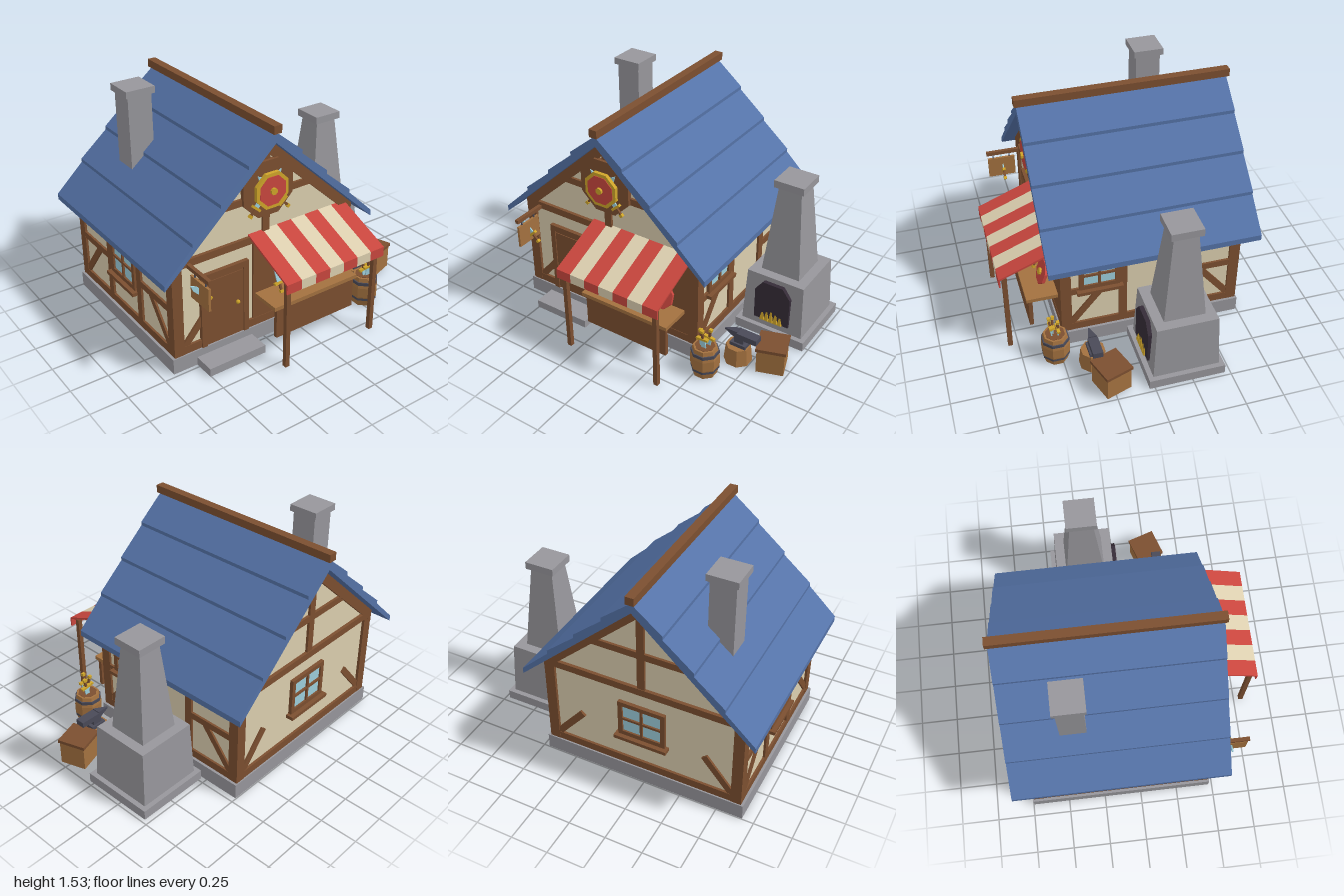
import * as THREE from 'three';

const colours = {
  stone: 0x97969b, roofBlue: 0x5573a8, timber: 0x7c4f30, plaster: 0xdccfaf, wood: 0xa3713f,
  red: 0xc9463e, gold: 0xcfa52a, steelBlue: 0x9dcfdc, iron: 0x4a4a58, soot: 0x362c38,
};
const M = {};

function add(parent, name, geo, mat, x = 0, y = 0, z = 0) {
  const mesh = new THREE.Mesh(geo, M[mat]);
  mesh.name = name;
  mesh.position.set(x, y, z);
  parent.add(mesh);
  return mesh;
}
function group(parent, name, x = 0, y = 0, z = 0) {
  const g = new THREE.Group();
  g.name = name;
  g.position.set(x, y, z);
  parent.add(g);
  return g;
}
const box = (p, name, mat, w, h, d, x, y, z) => add(p, name, new THREE.BoxGeometry(w, h, d), mat, x, y, z);

// faceted cylinder with flat sides facing the axes
function prism(rTop, rBottom, h, sides) {
  const g = new THREE.CylinderGeometry(rTop, rBottom, h, sides).rotateY(Math.PI / sides).toNonIndexed();
  g.computeVertexNormals();
  return g;
}
// square frustum given by full widths
const frustum = (top, bottom, h) => prism(top / Math.SQRT2, bottom / Math.SQRT2, h, 4);

function extrude(points, depth) {
  const shape = new THREE.Shape(points.map(([x, y]) => new THREE.Vector2(x, y)));
  return new THREE.ExtrudeGeometry(shape, { depth, bevelEnabled: false });
}
// beam between two points on a wall face
function strut(p, name, x1, y1, x2, y2, width, depth) {
  const b = box(p, name, 'timber', Math.hypot(x2 - x1, y2 - y1), width, depth, (x1 + x2) / 2, (y1 + y2) / 2, 0);
  b.rotation.z = Math.atan2(y2 - y1, x2 - x1);
}

// sword: origin at the guard, blade pointing up
function sword(p, name, length, x, y, z, rx = 0, rz = 0) {
  const g = group(p, name, x, y, z);
  const w = 0.017;
  add(g, 'blade', extrude([[-w, 0], [w, 0], [w, length - 0.04], [0, length], [-w, length - 0.04]], 0.008), 'steelBlue', 0, 0, -0.004);
  box(g, 'guard', 'gold', 0.075, 0.016, 0.02, 0, 0, 0);
  box(g, 'grip', 'timber', 0.014, 0.05, 0.014, 0, -0.03, 0);
  box(g, 'pommel', 'gold', 0.022, 0.02, 0.02, 0, -0.06, 0);
  g.rotation.set(rx, 0, rz);
  return g;
}

function shield(p, name, r, rim, x, y, z) {
  const g = group(p, name, x, y, z);
  const disc = (n, mat, rad, h, dz) => add(g, n, prism(rad, rad, h, 8).rotateX(Math.PI / 2), mat, 0, 0, dz);
  if (rim) disc('rim', 'gold', r * 1.24, 0.024, 0);
  disc('face', 'red', r, 0.02, 0.006);
  disc('boss', 'gold', 0.023, 0.03, 0.016);
  return g;
}

// four-pane window on a wall face, with frame and sill
function windowUnit(p, x, y, w, h) {
  const g = group(p, 'window', x, y, 0);
  box(g, 'glass', 'steelBlue', w, h, 0.02, 0, 0, 0.005);
  for (const s of [-1, 0, 1]) {
    const t = s ? 0.03 : 0.016;
    box(g, 'frameUpright', 'timber', t, h + 0.03, 0.045, s * w / 2, 0, 0.005);
    box(g, 'frameRail', 'timber', w + 0.03, t, 0.045, 0, s * h / 2, 0.005);
  }
  box(g, 'sill', 'timber', w + 0.07, 0.024, 0.08, 0, -h / 2 - 0.028, 0.015);
}

function buildRoof(house) {
  // stepped shingle rows, one profile per slope
  for (const s of [-1, 1]) {
    const pts = [[0, 1.38], [0, 1.445], [0.193, 1.287], [0.193, 1.263], [0.386, 1.1], [0.386, 1.076],
      [0.58, 0.912], [0.58, 0.888], [0.773, 0.705], [0.773, 0.665]];
    add(house, 'roofSlope', extrude(pts.map(([x, y]) => [s * x, y]), 1.385), 'roofBlue', 0, 0, -0.695);
  }
  box(house, 'ridgeBeam', 'timber', 0.056, 0.052, 1.415, 0, 1.468, -0.003);
  box(house, 'roofChimney', 'stone', 0.165, 0.75, 0.165, -0.39, 1.11, -0.265);
  box(house, 'roofChimneyCap', 'stone', 0.2, 0.045, 0.2, -0.39, 1.505, -0.265);
}

function buildHouse(root) {
  const house = group(root, 'house', -0.23, 0, -0.135);
  box(house, 'foundation', 'stone', 1.385, 0.105, 1.22, 0, 0.0525, 0);
  box(house, 'doorStep', 'stone', 0.41, 0.055, 0.16, -0.32, 0.0275, 0.675);
  add(house, 'walls', extrude([[-0.66, 0.1], [0.66, 0.1], [0.66, 0.76], [0, 1.38], [-0.66, 0.76]], 1.166), 'plaster', 0, 0, -0.583);
  for (const x of [-1, 1]) for (const z of [-1, 1])
    box(house, 'cornerPost', 'timber', 0.07, 0.63, 0.07, x * 0.641, 0.42, z * 0.567);

  // gable faces, front and back
  const faces = [1, -1].map((s) => {
    const f = group(house, s > 0 ? 'frontFace' : 'backFace', 0, 0, s * 0.58);
    if (s < 0) f.rotation.y = Math.PI;
    box(f, 'sillBeam', 'timber', 1.3, 0.055, 0.04, 0, 0.132, 0);
    box(f, 'tieBeam', 'timber', 1.34, 0.048, 0.05, 0, 0.737, 0);
    box(f, 'collarBeam', 'timber', 0.76, 0.045, 0.04, 0, 1.01, 0);
    box(f, 'kingPost', 'timber', 0.05, 0.6, 0.04, 0, 1.03, 0);
    for (const m of [-1, 1])
      add(f, 'rafter', extrude([[0, 1.39], [m * 0.675, 0.765], [m * 0.675, 0.67], [0, 1.29]], 0.045), 'timber', 0, 0, -0.02);
    return f;
  });
  const [front, back] = faces;
  for (const m of [-1, 1]) strut(back, 'brace', m * 0.62, 0.15, m * 0.42, 0.39, 0.045, 0.036);
  windowUnit(back, 0, 0.48, 0.29, 0.23);
  strut(front, 'brace', -0.62, 0.13, -0.45, 0.33, 0.045, 0.036);

  // door and stall backing
  box(front, 'doorFrame', 'timber', 0.345, 0.51, 0.04, -0.31, 0.36, 0);
  box(front, 'doorPanel', 'timber', 0.27, 0.45, 0.05, -0.31, 0.335, 0);
  for (const s of [-1, 1]) box(front, 'doorPost', 'timber', 0.036, 0.51, 0.06, -0.31 + s * 0.155, 0.36, 0);
  box(front, 'doorLintel', 'timber', 0.345, 0.04, 0.06, -0.31, 0.595, 0);
  add(front, 'doorKnob', new THREE.SphereGeometry(0.014, 8, 6), 'gold', -0.222, 0.345, 0.035);
  box(front, 'stallBacking', 'timber', 0.76, 0.6, 0.034, 0.285, 0.41, 0);

  // gable crest: plaque, crossed swords, shield
  add(front, 'plaque', prism(0.195, 0.195, 0.03, 8).rotateX(Math.PI / 2), 'timber', 0, 1.065, 0.025);
  for (const s of [-1, 1]) sword(front, 'crestSword', 0.28, s * 0.095, 0.96, 0.048 + s * 0.005, 0, s * 0.72);
  shield(front, 'crestShield', 0.1, true, 0, 1.065, 0.07);

  // long side faces
  for (const s of [-1, 1]) {
    const f = group(house, s > 0 ? 'rightFace' : 'leftFace', s * 0.655, 0, 0);
    f.rotation.y = s * Math.PI / 2;
    box(f, 'sillBeam', 'timber', 1.14, 0.055, 0.04, 0, 0.132, 0);
    box(f, 'wallPlate', 'timber', 1.18, 0.05, 0.04, 0, 0.715, 0);
    for (const m of [-1, 1]) {
      box(f, 'midPost', 'timber', 0.054, 0.6, 0.04, m * 0.19, 0.42, 0);
      box(f, 'midRail', 'timber', 0.37, 0.045, 0.04, m * 0.38, 0.433, 0);
      strut(f, 'brace', m * 0.54, 0.16, m * 0.33, 0.42, 0.045, 0.036);
    }
    if (s > 0) windowUnit(f, -0.347, 0.555, 0.235, 0.19);
    else windowUnit(f, 0, 0.48, 0.27, 0.23);
  }
  buildRoof(house);
}

function buildStall(root) {
  const stall = group(root, 'stall');
  // striped awning with a hanging front edge
  const w = 0.755 / 7;
  for (let i = 0; i < 7; i++) {
    const geo = extrude([[0.45, 0.775], [0.84, 0.615], [0.84, 0.55], [0.83, 0.55], [0.83, 0.606], [0.45, 0.76]], w);
    add(stall, 'awningStripe', geo.rotateY(-Math.PI / 2), i % 2 ? 'plaster' : 'red', -0.355 + (i + 1) * w, 0, 0);
  }
  for (const x of [-0.32, 0.36]) box(stall, 'awningPost', 'timber', 0.03, 0.6, 0.03, x, 0.3, 0.8);
  box(stall, 'counterTop', 'wood', 0.655, 0.026, 0.21, 0.017, 0.332, 0.565);
  box(stall, 'counterFront', 'timber', 0.615, 0.215, 0.026, 0.022, 0.214, 0.642);
  // goods on the counter
  [[-0.185, 0.1], [-0.06, -0.06], [0.05, 0.06]].forEach(([x, tilt]) => sword(stall, 'displaySword', 0.24, x, 0.42, 0.545, -0.25, tilt));
  shield(stall, 'displayShield', 0.086, false, 0.224, 0.457, 0.53).rotation.x = -0.35;

  // hanging sign with a small sword through it
  const sign = group(root, 'sign', -0.793, 0, 0);
  box(sign, 'bracket', 'timber', 0.024, 0.026, 0.26, 0, 0.725, 0.57);
  box(sign, 'signBoard', 'wood', 0.016, 0.15, 0.19, 0, 0.605, 0.598);
  for (const z of [0.54, 0.655]) box(sign, 'hanger', 'iron', 0.008, 0.04, 0.008, 0, 0.695, z);
  sword(sign, 'signSword', 0.12, 0.025, 0.585, 0.59, 0, 0.8).rotation.order = 'XYZ';
}

function buildForge(root) {
  const f = group(root, 'forge', 0.725, 0, -0.215);
  box(f, 'plinth', 'stone', 0.5, 0.065, 0.5, 0, 0.0325, 0);
  add(f, 'hearth', frustum(0.4, 0.435, 0.38), 'stone', 0, 0.255, 0);
  add(f, 'stack', frustum(0.155, 0.27, 0.61), 'stone', 0, 0.75, 0);
  box(f, 'stackCap', 'stone', 0.205, 0.05, 0.205, 0, 1.075, 0);
  const arch = [[-0.125, 0.12], [0.125, 0.12], [0.125, 0.34], [0.07, 0.412], [-0.07, 0.412], [-0.125, 0.34]];
  add(f, 'fireOpening', extrude(arch, 0.045), 'soot', 0, 0, 0.185);
  for (let i = -2; i <= 2; i++)
    add(f, 'flame', prism(0, 0.024, 0.13 - 0.02 * Math.abs(i), 5), 'gold', i * 0.032, 0.185 - 0.01 * Math.abs(i), 0.222);
}

function buildYard(root) {
  // barrel of swords
  const barrel = group(root, 'barrel', 0.545, 0, 0.535);
  [[0.078, 0.094, 0.035], [0.094, 0.094, 0.105], [0.094, 0.078, 0.175]].forEach(([a, b, y]) =>
    add(barrel, 'staves', prism(b, a, 0.07, 8), 'wood', 0, y, 0));
  for (const y of [0.055, 0.172]) add(barrel, 'hoop', prism(0.092, 0.092, 0.022, 8), 'iron', 0, y, 0);
  add(barrel, 'barrelTop', prism(0.064, 0.064, 0.004, 8), 'timber', 0, 0.211, 0);
  [[-0.02, 0.01, 0.2], [0.02, -0.015, -0.15], [0.0, 0.03, 0.05]].forEach(([x, z, t], i) =>
    sword(barrel, 'barrelSword', 0.16, x, 0.26 + i * 0.01, z, 0.08 * (i - 1), Math.PI + t));

  // stump and anvil
  const anvil = group(root, 'anvilStand', 0.66, 0, 0.318);
  add(anvil, 'stump', prism(0.08, 0.092, 0.12, 8), 'wood', 0, 0.06, 0);
  box(anvil, 'anvilFoot', 'iron', 0.11, 0.025, 0.07, 0.01, 0.132, 0);
  box(anvil, 'anvilWaist', 'iron', 0.065, 0.05, 0.045, 0.01, 0.165, 0);
  box(anvil, 'anvilBody', 'iron', 0.14, 0.04, 0.065, 0.07, 0.205, 0);
  add(anvil, 'anvilHorn', prism(0.006, 0.04, 0.1, 4).rotateZ(Math.PI / 2), 'iron', -0.05, 0.205, 0);

  // crate
  const crate = group(root, 'crate', 0.87, 0, 0.253);
  crate.rotation.y = 0.32;
  box(crate, 'crateBody', 'wood', 0.177, 0.165, 0.177, 0, 0.0825, 0);
  box(crate, 'crateLid', 'timber', 0.192, 0.022, 0.192, 0, 0.175, 0);
}

export function createModel() {
  for (const [name, color] of Object.entries(colours)) {
    M[name] = new THREE.MeshStandardMaterial({ color });
    M[name].name = name;
  }
  const root = new THREE.Group();
  root.name = 'smithy';
  buildHouse(root);
  buildStall(root);
  buildForge(root);
  buildYard(root);
  return root;
}
